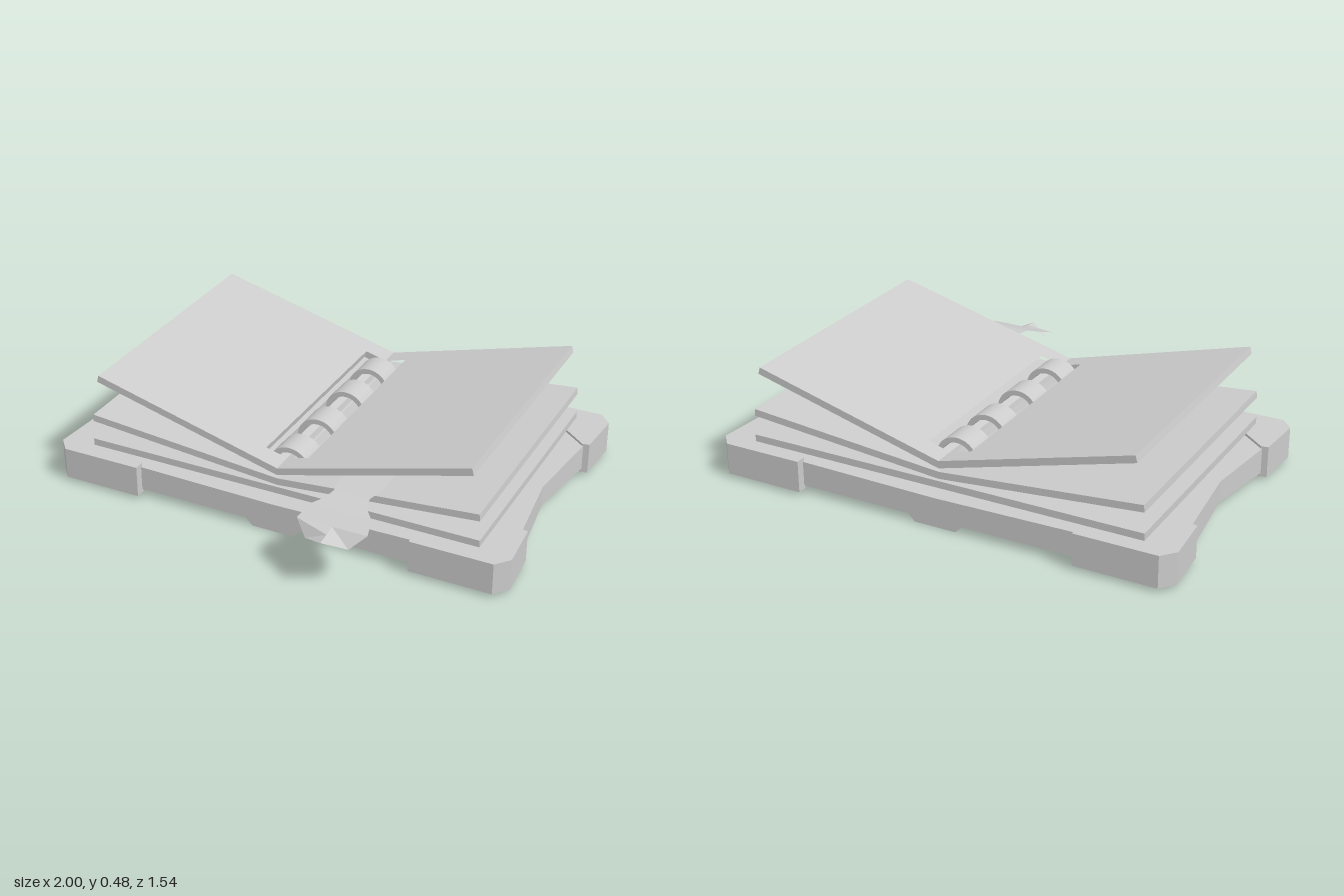
import * as THREE from 'three';

const material = new THREE.MeshStandardMaterial({ color: 0xcccccc, flatShading: true });

function add(group, name, geometry, mat = material) {
  const mesh = new THREE.Mesh(geometry, mat);
  mesh.name = name;
  group.add(mesh);
  return mesh;
}

// Flat plate: outline and holes given as [x, z], thickened upwards from y = 0
function plate(outline, thickness, holes = []) {
  const toPoints = (list) => list.map(([x, z]) => new THREE.Vector2(x, -z));
  const shape = new THREE.Shape(toPoints(outline));
  for (const hole of holes) shape.holes.push(new THREE.Path(toPoints(hole)));
  const geometry = new THREE.ExtrudeGeometry(shape, { depth: thickness, bevelEnabled: false });
  return geometry.rotateX(-Math.PI / 2);
}

const rect = (x0, x1, z0, z1) => [[x0, z0], [x1, z0], [x1, z1], [x0, z1]];

function fromTriangles(positions, index) {
  const indexed = new THREE.BufferGeometry();
  indexed.setAttribute('position', new THREE.Float32BufferAttribute(positions, 3));
  indexed.setIndex(index);
  const geometry = indexed.toNonIndexed();
  geometry.computeVertexNormals();
  return geometry;
}

// Cover: cross-sections from back to front, waisted at the middle, with a raised spine below
function coverGeometry() {
  const sections = [[-0.735, 0.96, 0.03], [-0.5, 0.96, 0.03], [-0.12, 0.92, 0.05], [0.22, 0.96, 0.03], [0.46, 0.96, 0.03]];
  const profile = (w, b) => [
    [-w, b], [-0.12, 0.03], [-0.09, 0], [0.09, 0], [0.12, 0.03], [w, b], [w, 0.14], [0, 0.125], [-w, 0.14],
  ];
  const positions = [], index = [];
  for (const [z, w, b] of sections) for (const [x, y] of profile(w, b)) positions.push(x, y, z);
  const n = 9, last = (sections.length - 1) * n;
  for (let i = 0; i < last; i += n) {
    for (let j = 0; j < n; j++) {
      const k = (j + 1) % n;
      index.push(i + j, i + k, i + n + k, i + j, i + n + k, i + n + j);
    }
  }
  const contour = profile(0.96, 0.03).map(([x, y]) => new THREE.Vector2(x, y));
  for (const [a, b, c] of THREE.ShapeUtils.triangulateShape(contour, [])) {
    index.push(last + a, last + b, last + c, c, b, a);
  }
  return fromTriangles(positions, index);
}

// Bookmark ribbon: rows of [z, half width, edge height, centre height]
function bookmarkGeometry() {
  const rows = [
    [0.3, 0.09, 0.295, 0.295], [0.42, 0.09, 0.295, 0.295], [0.5, 0.075, 0.295, 0.295], [0.55, 0.085, 0.29, 0.29],
    [0.6, 0.13, 0.275, 0.275], [0.67, 0.147, 0.25, 0.25], [0.715, 0.09, 0.2, 0.24], [0.768, 0, 0.235, 0.235],
  ];
  const positions = [], index = [];
  for (const [z, half, edge, centre] of rows) {
    positions.push(0.367 - half, edge, z, 0.367, centre, z, 0.367 + half, edge, z);
  }
  for (let i = 0; i < rows.length - 1; i++) {
    for (let j = 0; j < 2; j++) {
      const a = i * 3 + j;
      index.push(a, a + 3, a + 4, a, a + 4, a + 1);
    }
  }
  return fromTriangles(positions, index);
}

export function createModel() {
  const model = new THREE.Group();
  model.name = 'openRingBinder';

  add(model, 'cover', coverGeometry());

  // Protective corners, mirrored to all four corners of the cover
  const midZ = -0.1375;
  const corner = [[0.605, 0.633], [0.95, 0.633], [1, 0.575], [0.985, 0.365], [0.955, 0.36], [0.86, 0.44], [0.64, 0.57], [0.605, 0.59]];
  for (const sx of [-1, 1]) {
    for (const sz of [-1, 1]) {
      const outline = corner.map(([x, z]) => [sx * x, midZ + sz * z]);
      add(model, 'coverCorner', plate(outline, 0.135)).position.y = 0.015;
    }
  }

  // Three layers of stiff pages, fanned open, with slots for the rings
  const layers = [[0.15, 0, 0.86], [0.19, 5, 0.86], [0.235, 15, 0.852]];
  for (const side of [-1, 1]) {
    for (const [y, degrees, length] of layers) {
      const outline = rect(0, side * length, -0.697, 0.413);
      const slot = rect(side * 0.04, side * 0.105, -0.61, 0.325);
      const page = add(model, side > 0 ? 'leftPage' : 'rightPage', plate(outline, 0.03, [slot]));
      page.position.y = y;
      page.rotation.z = side * THREE.MathUtils.degToRad(degrees);
    }
  }

  // Wide binder rings through the slots
  const ringShape = new THREE.Shape().absarc(0, 0, 0.092, 0, Math.PI * 2);
  ringShape.holes.push(new THREE.Path().absarc(0, 0, 0.07, 0, Math.PI * 2, true));
  const ringGeometry = new THREE.ExtrudeGeometry(ringShape, { depth: 0.122, bevelEnabled: false, curveSegments: 20 });
  const ringMaterial = new THREE.MeshStandardMaterial({ color: 0xcccccc });
  for (const z of [-0.558, -0.328, -0.066, 0.187]) {
    add(model, 'binderRing', ringGeometry, ringMaterial).position.set(0, 0.212, z);
  }

  add(model, 'bookmark', bookmarkGeometry());
  return model;
}
